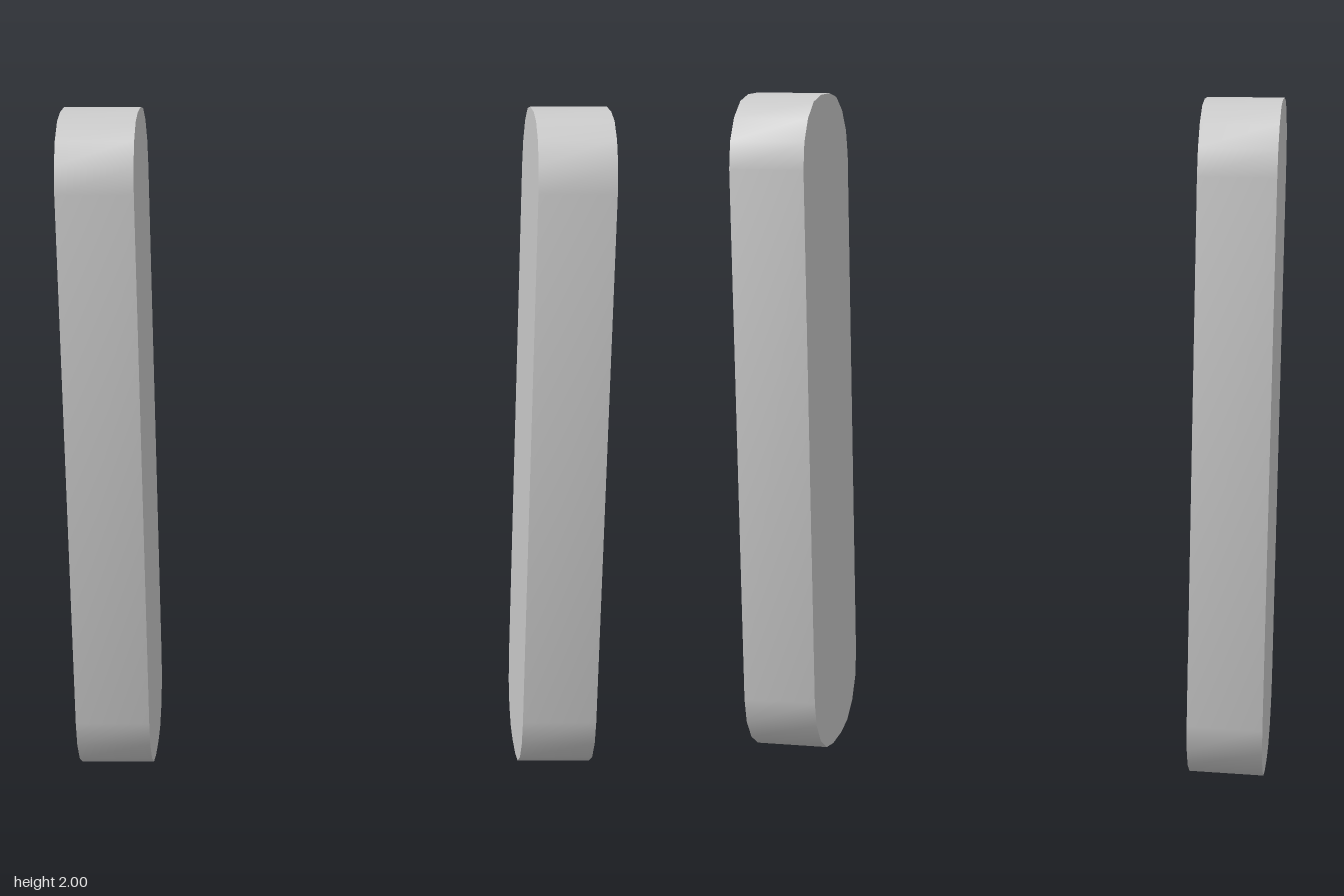
import * as THREE from 'three';
import { toCreasedNormals } from 'three/addons/utils/BufferGeometryUtils.js';

const HALF_WIDTH = 0.25, HEIGHT = 2, RADIUS = 0.2, THICKNESS = 0.22, INNER_X = 0.56;

// Upright slab outline with rounded corners
function slabOutline() {
  const w = HALF_WIDTH, h = HEIGHT, r = RADIUS;
  const shape = new THREE.Shape();
  shape.moveTo(w, r);
  shape.lineTo(w, h - r);
  shape.absarc(w - r, h - r, r, 0, Math.PI / 2);
  shape.absarc(r - w, h - r, r, Math.PI / 2, Math.PI);
  shape.lineTo(-w, r);
  shape.absarc(r - w, r, r, Math.PI, Math.PI * 1.5);
  shape.absarc(w - r, r, r, Math.PI * 1.5, Math.PI * 2);
  return shape;
}

export function createModel() {
  const group = new THREE.Group();
  group.name = 'sidePanels';
  const material = new THREE.MeshStandardMaterial({ color: 0xcccccc });

  // Extruded along x; the rounded rim is smooth, the faces stay sharp.
  // Four straight segments per corner (the arcs use twice curveSegments).
  const extruded = new THREE.ExtrudeGeometry(slabOutline(), {
    depth: THICKNESS, bevelEnabled: false, curveSegments: 2,
  });
  extruded.translate(0, 0, -THICKNESS / 2).rotateY(Math.PI / 2);
  const geometry = toCreasedNormals(extruded, Math.PI / 6);

  // Matching left and right slabs
  for (const [name, side] of [['leftPanel', 1], ['rightPanel', -1]]) {
    const panel = new THREE.Mesh(geometry, material);
    panel.name = name;
    panel.position.x = side * (INNER_X + THICKNESS / 2);
    group.add(panel);
  }
  return group;
}
